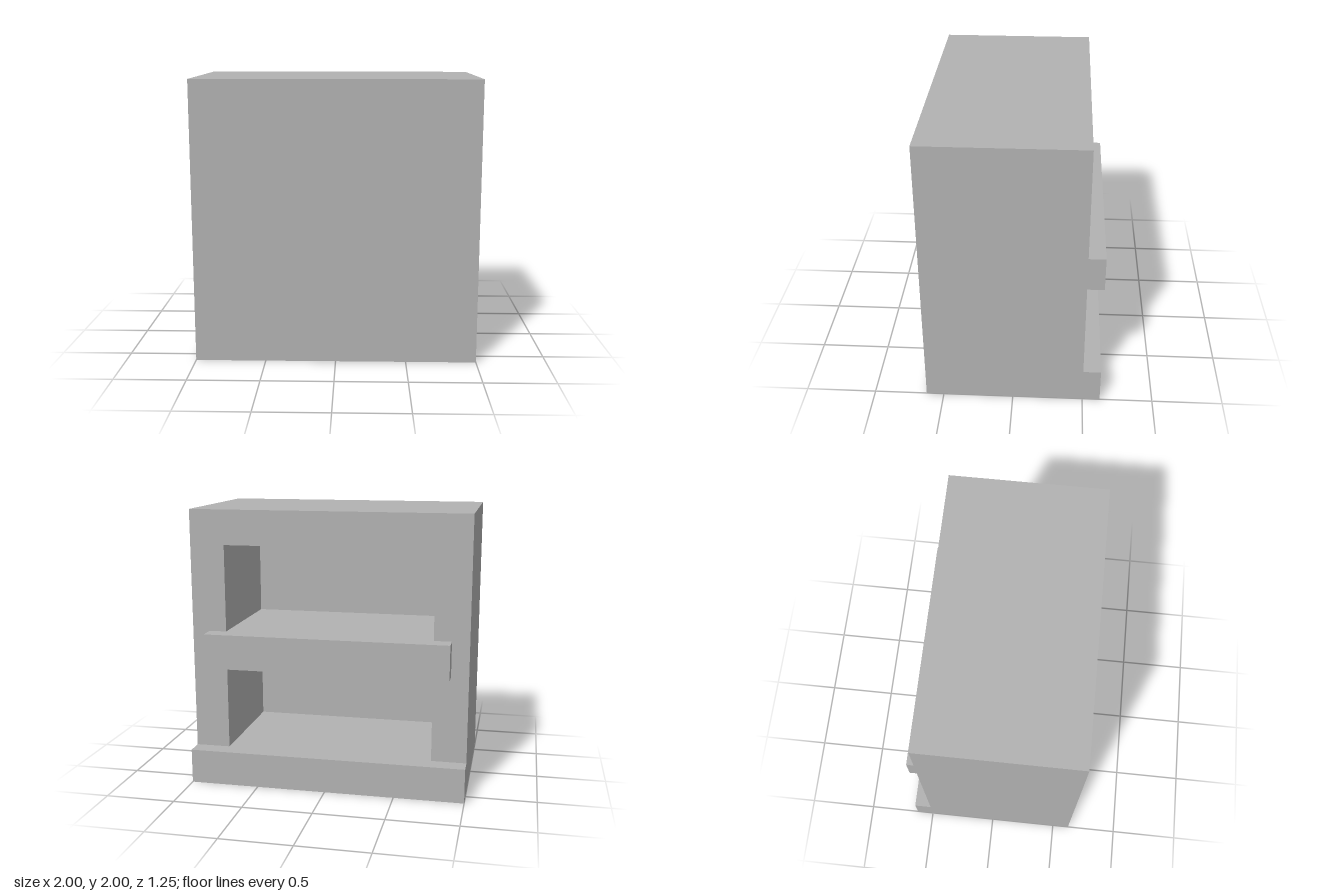
import * as THREE from 'three';

export function createModel() {
  const model = new THREE.Group();
  model.name = 'cabinet';

  const grey = new THREE.MeshStandardMaterial({ color: 0xb2b2b2 });
  grey.name = 'plain grey';

  const add = (name, geometry) => {
    const mesh = new THREE.Mesh(geometry, grey);
    mesh.name = name;
    model.add(mesh);
  };
  // Box given by its lower and upper corners
  const box = (name, [x0, y0, z0], [x1, y1, z1]) => add(name,
    new THREE.BoxGeometry(x1 - x0, y1 - y0, z1 - z0)
      .translate((x0 + x1) / 2, (y0 + y1) / 2, (z0 + z1) / 2));
  const rectangle = (path, x, y0, y1) =>
    path.moveTo(-x, y0).lineTo(x, y0).lineTo(x, y1).lineTo(-x, y1).closePath();

  // Sides, top and floor as one frame around the opening at the back
  const outline = rectangle(new THREE.Shape(), 1, 0, 2);
  outline.holes.push(rectangle(new THREE.Path(), 0.75, 0.25, 1.75));
  add('frame', new THREE.ExtrudeGeometry(outline, { depth: 0.875, bevelEnabled: false })
    .translate(0, 0, -0.5));

  // Closed front
  box('frontPanel', [-1, 0, 0.375], [1, 2, 0.625]);

  // Shelf inside, with a wider lip overlapping the frame
  box('shelf', [-0.75, 0.875, -0.5], [0.75, 1.125, 0.375]);
  box('shelfLip', [-0.875, 0.875, -0.625], [0.875, 1.125, -0.5]);

  // Floor ledge
  box('baseLedge', [-1, 0, -0.625], [1, 0.25, -0.5]);

  return model;
}
